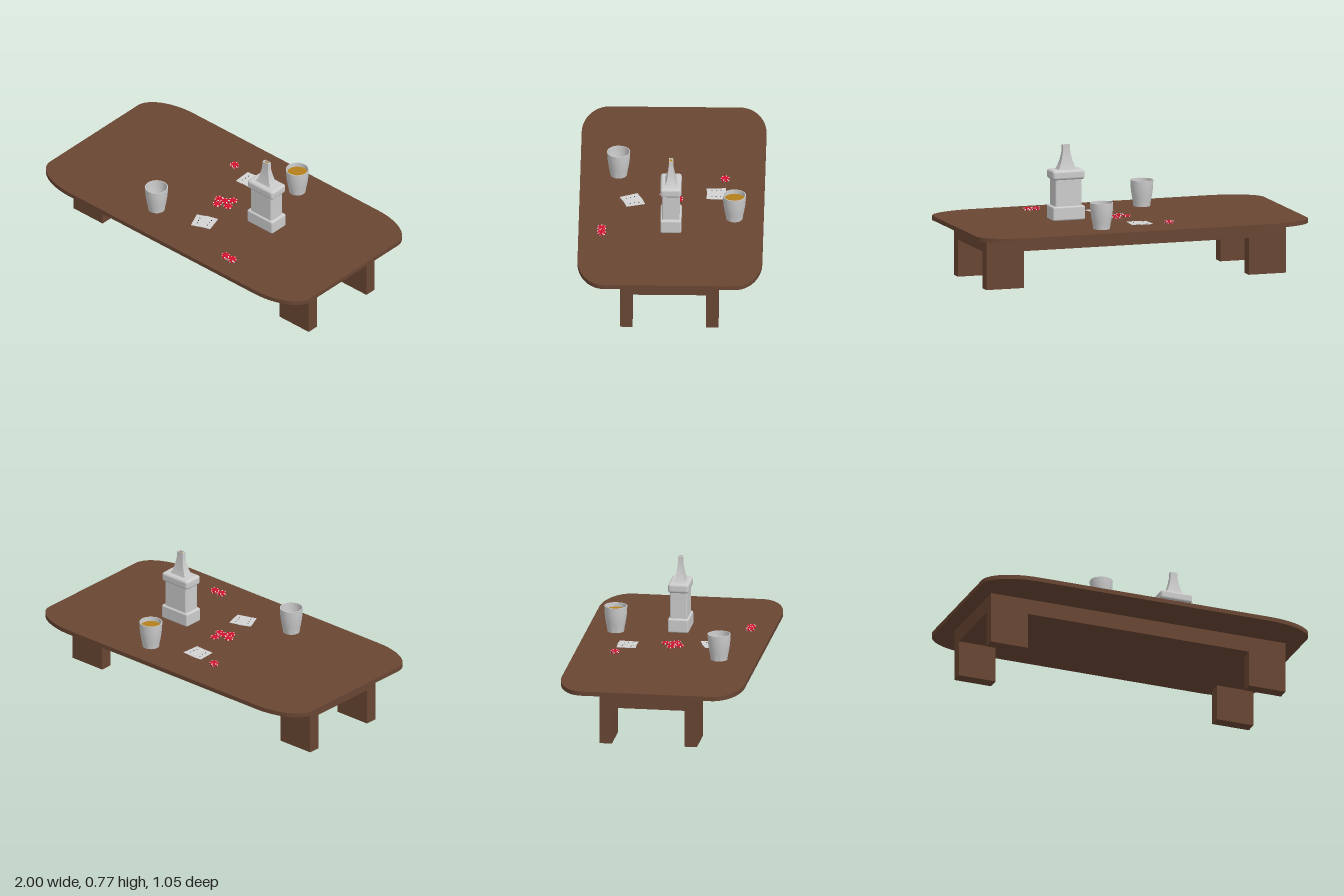
import * as THREE from 'three';
import { toCreasedNormals } from 'three/addons/utils/BufferGeometryUtils.js';
import { RoundedBoxGeometry } from 'three/addons/geometries/RoundedBoxGeometry.js';

const material = (name, color) => {
  const m = new THREE.MeshStandardMaterial({ color });
  m.name = name;
  return m;
};

export function createModel() {
  const wood = material('brown wood', 0x694633);
  const glass = material('pale grey glass', 0xcccccc);
  const amber = material('amber drink', 0xb47f1c);
  const red = material('chip red', 0xd0142e);
  const white = material('chip white', 0xf2f2f2);
  const cardWhite = material('card white', 0xd2d2d2);
  const ink = material('card ink', 0x222222);

  const model = new THREE.Group();
  model.name = 'tableWithDrinksAndCards';
  const add = (parent, name, geometry, mat, x = 0, y = 0, z = 0) => {
    const mesh = new THREE.Mesh(geometry, mat);
    mesh.name = name;
    mesh.position.set(x, y, z);
    parent.add(mesh);
    return mesh;
  };
  const group = (name, x, y, z, turn = 0) => {
    const g = new THREE.Group();
    g.name = name;
    g.position.set(x, y, z);
    g.rotation.y = turn;
    model.add(g);
    return g;
  };

  // Tabletop with elliptical corners
  const TOP = 0.33, hx = 1, hz = 0.527, rx = 0.29, rz = 0.155;
  const outline = new THREE.Shape();
  [[1, 1], [-1, 1], [-1, -1], [1, -1]].forEach(([sx, sz], i) => {
    const a = i * Math.PI / 2;
    outline.absellipse(sx * (hx - rx), sz * (hz - rz), rx, rz, a, a + Math.PI / 2, false, 0);
  });
  const topGeo = new THREE.ExtrudeGeometry(outline, { depth: 0.025, bevelEnabled: false, curveSegments: 12 });
  topGeo.rotateX(-Math.PI / 2);
  add(model, 'tabletop', toCreasedNormals(topGeo, 0.6), wood, 0, TOP - 0.025, 0);

  // Deep body under the top, and four flush legs
  add(model, 'tableBody', new THREE.BoxGeometry(1.81, 0.092, 0.56), wood, 0, 0.259, 0);
  for (const sx of [-1, 1]) for (const sz of [-1, 1]) {
    add(model, 'leg', new THREE.BoxGeometry(0.225, 0.213, 0.07), wood, sx * 0.7925, 0.1065, sz * 0.245);
  }

  // Square bottle: base, waist, shoulder and a flared open neck
  const bottle = group('bottle', 0.327, TOP, 0);
  add(bottle, 'bottleBase', new RoundedBoxGeometry(0.195, 0.082, 0.12, 3, 0.01), glass, 0, 0.046, 0);
  add(bottle, 'bottleWaist', new RoundedBoxGeometry(0.16, 0.18, 0.1, 3, 0.008), glass, 0, 0.162, 0);
  add(bottle, 'bottleShoulder', new RoundedBoxGeometry(0.195, 0.056, 0.12, 4, 0.016), glass, 0, 0.267, 0);
  const neckProfile = [[0.032, 0.292], [0.025, 0.315], [0.019, 0.345], [0.015, 0.375],
    [0.0125, 0.4], [0.0122, 0.436], [0.009, 0.436], [0.009, 0.425]];
  const neck = new THREE.LatheGeometry(
    neckProfile.map(([r, y]) => new THREE.Vector2(r * Math.SQRT2, y)), 4, Math.PI / 4);
  neck.scale(1.75, 1, 1);
  add(bottle, 'bottleNeck', toCreasedNormals(neck, 0.5), glass);
  add(bottle, 'bottleDrink', new THREE.BoxGeometry(0.033, 0.004, 0.019), amber, 0, 0.426, 0);

  // Tumblers with drink at different levels
  const cupProfile = [[0, 0.001], [0.048, 0.001], [0.05, 0.02], [0.056, 0.05], [0.0615, 0.085], [0.0645, 0.115],
    [0.066, 0.152], [0.061, 0.152], [0.0595, 0.115], [0.0565, 0.085], [0.051, 0.05], [0.045, 0.015], [0, 0.015]];
  const cupGeo = toCreasedNormals(
    new THREE.LatheGeometry(cupProfile.map(p => new THREE.Vector2(...p)), 32), 0.7);
  for (const [x, z, level, r] of [[-0.24, 0.308, 0.06, 0.0535], [0.238, -0.36, 0.125, 0.0605]]) {
    const cup = group('tumbler', x, TOP, z);
    add(cup, 'tumblerGlass', cupGeo, glass);
    add(cup, 'drink', new THREE.CylinderGeometry(r, r, 0.004, 32), amber, 0, level, 0);
  }

  // Two fanned pairs of playing cards
  for (const [x, z, turn] of [[-0.028, -0.253, 0], [0.05, 0.224, 0.36]]) {
    const hand = group('cardPair', x, TOP, z, turn);
    [-1, 1].forEach((side, i) => {
      const card = new THREE.Group();
      card.name = 'card';
      card.position.set(side * 0.024, 0.0015 + i * 0.002, 0);
      card.rotation.y = -side * 0.06;
      hand.add(card);
      add(card, 'cardFace', new THREE.BoxGeometry(0.076, 0.002, 0.11), cardWhite);
      for (const dz of [-0.025, 0, 0.025]) {
        add(card, 'pip', new THREE.BoxGeometry(0.005, 0.001, 0.006), ink, side * 0.01, 0.0012, dz);
      }
    });
  }

  // Gaming chips with white edge marks: x, height level, z
  const chips = [[-0.19, 0, -0.3], [-0.19, 1, -0.3], [0.37, 0, 0.395], [0.37, 1, 0.395], [0.42, 0, 0.395],
    [0.42, 1, 0.395], [0.034, 0, -0.04], [0.05, 0, 0.02], [-0.012, 0, 0.045], [-0.038, 0, 0], [0.008, 1, 0.002]];
  const chipGeo = new THREE.CylinderGeometry(0.025, 0.025, 0.006, 24);
  const markGeo = new THREE.BoxGeometry(0.007, 0.0066, 0.007);
  chips.forEach(([x, level, z], i) => {
    const chip = group('chip', x, TOP + 0.0034 + level * 0.0068, z, i * 0.7);
    add(chip, 'chipBody', chipGeo, red);
    for (let k = 0; k < 6; k++) {
      const a = k * Math.PI / 3;
      add(chip, 'chipMark', markGeo, white, Math.cos(a) * 0.022, 0, Math.sin(a) * 0.022).rotation.y = -a;
    }
  });

  return model;
}
